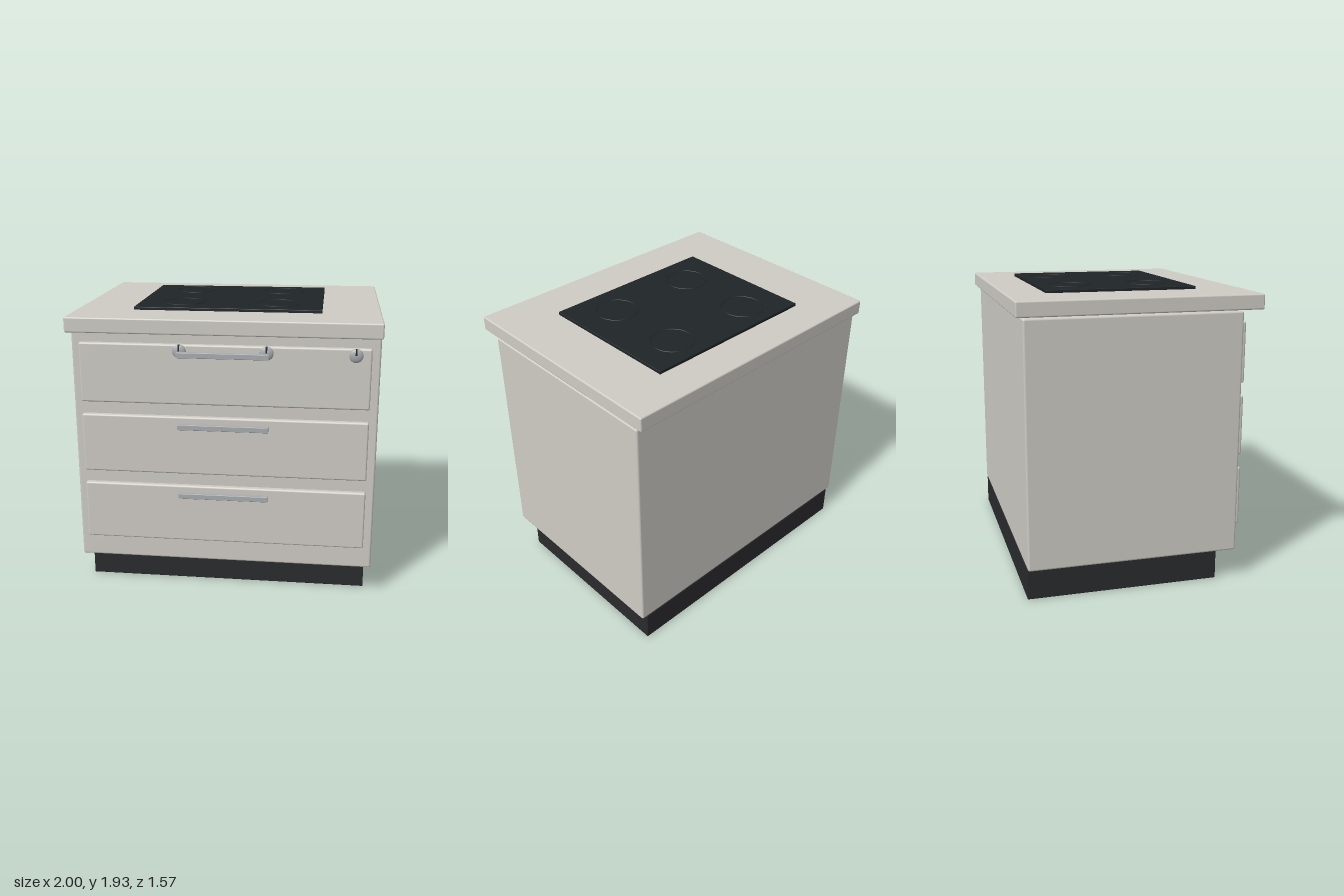
import * as THREE from 'three';
import { RoundedBoxGeometry } from 'three/addons/geometries/RoundedBoxGeometry.js';

const paint = (color) => new THREE.MeshStandardMaterial({ color });

// Softly bevelled box given by its [min, max] extents on each axis
function block(name, [x0, x1], [y0, y1], [z0, z1], radius, material) {
  const geometry = new RoundedBoxGeometry(x1 - x0, y1 - y0, z1 - z0, 3, radius);
  const mesh = new THREE.Mesh(geometry, material);
  mesh.name = name;
  mesh.position.set((x0 + x1) / 2, (y0 + y1) / 2, (z0 + z1) / 2);
  return mesh;
}

export function createModel() {
  const model = new THREE.Group();
  model.name = 'cooktopCabinet';
  const cabinet = paint(0xcfccc5);
  const dark = paint(0x2a2b2d);
  const glass = paint(0x1f2427);
  const metal = paint(0xa9adb0);

  // Plinth, carcass and worktop
  model.add(
    block('plinth', [-0.957, 0.957], [0, 0.205], [-0.745, 0.53], 0.004, dark),
    block('carcass', [-0.997, 0.997], [0.205, 1.8], [-0.745, 0.652], 0.014, cabinet),
    block('worktop', [-1, 1], [1.805, 1.903], [-0.787, 0.787], 0.01, cabinet)
  );

  // Drawer fronts, each with a bar handle on two short posts
  const drawers = [[0.365, 0.702], [0.847, 1.183], [1.328, 1.663]];
  drawers.forEach(([bottom, handleY]) => {
    const drawer = new THREE.Group();
    drawer.name = 'drawer';
    drawer.add(
      block('drawerFront', [-0.94, 0.94], [bottom, bottom + 0.396], [0.648, 0.694], 0.012, cabinet),
      block('handleBar', [-0.298, 0.298], [handleY - 0.018, handleY + 0.018], [0.702, 0.734], 0.004, metal)
    );
    for (const x of [-0.24, 0.24]) {
      drawer.add(block('handlePost', [x - 0.02, x + 0.02], [handleY - 0.014, handleY + 0.014], [0.685, 0.706], 0.003, metal));
    }
    model.add(drawer);
  });

  // Domed control knobs with a dark pointer
  const profile = [[0.044, 0], [0.044, 0.008], [0.04, 0.014], [0.03, 0.019], [0.015, 0.022], [0, 0.023]]
    .map(([r, y]) => new THREE.Vector2(r, y));
  const knobGeometry = new THREE.LatheGeometry(profile, 32).rotateX(Math.PI / 2);
  for (const x of [-0.28, 0.28, 0.84]) {
    const knob = new THREE.Group();
    knob.name = 'knob';
    knob.position.set(x, 1.682, 0.692);
    const dome = new THREE.Mesh(knobGeometry, metal);
    dome.name = 'knobDome';
    knob.add(dome, block('knobPointer', [-0.005, 0.005], [0.004, 0.046], [0.006, 0.026], 0.002, dark));
    model.add(knob);
  }

  // Glass hob with four thin cooking-zone rings
  model.add(block('hob', [-0.618, 0.618], [1.9, 1.923], [-0.53, 0.467], 0.004, glass));
  const ringGeometry = new THREE.TorusGeometry(0.14, 0.004, 8, 64).rotateX(Math.PI / 2);
  for (const x of [-0.32, 0.32]) {
    for (const z of [-0.315, 0.222]) {
      const ring = new THREE.Mesh(ringGeometry, glass);
      ring.name = 'cookingZone';
      ring.position.set(x, 1.9225, z);
      model.add(ring);
    }
  }
  return model;
}
